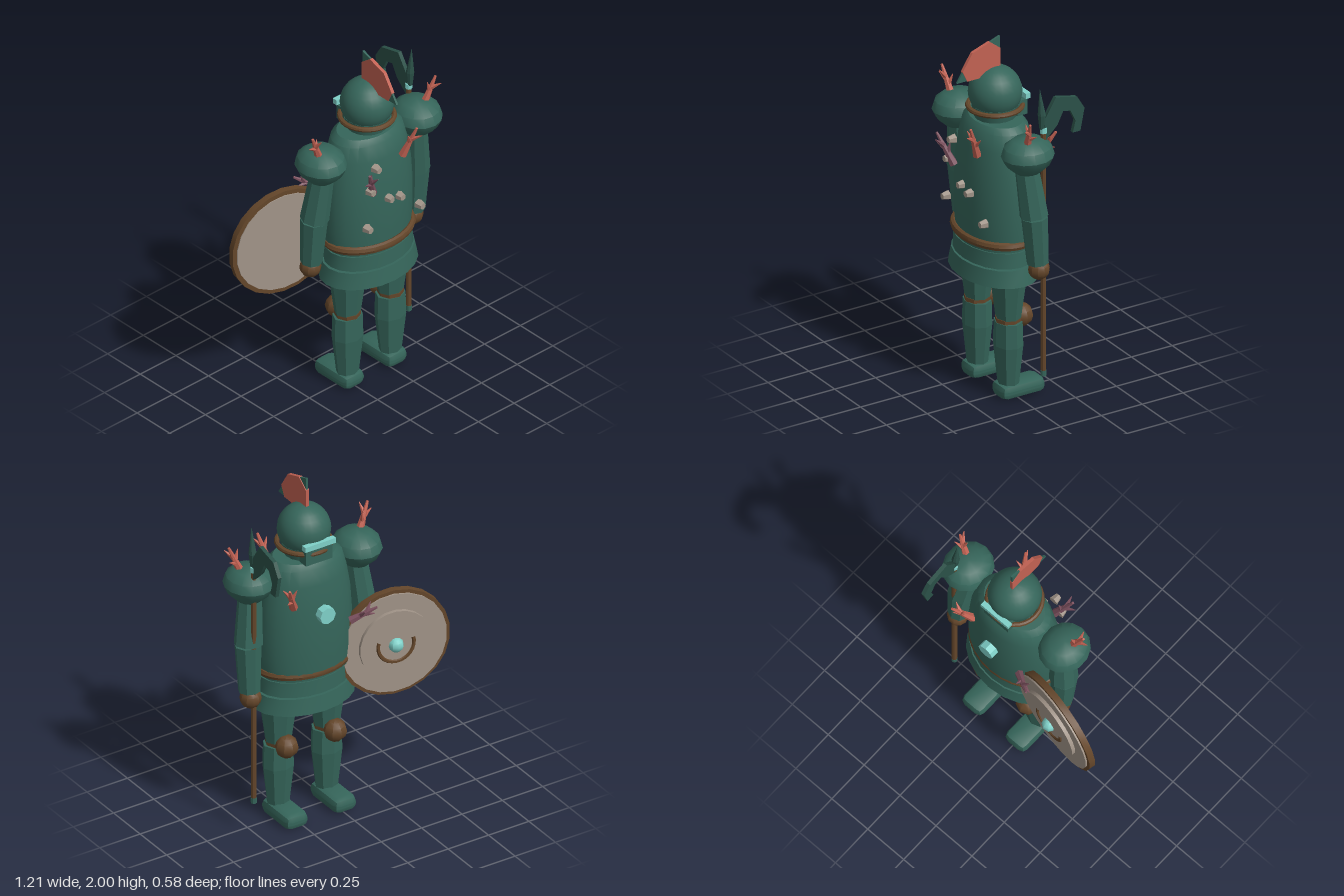
import * as THREE from 'three';
import { toCreasedNormals } from 'three/addons/utils/BufferGeometryUtils.js';
import { RoundedBoxGeometry } from 'three/addons/geometries/RoundedBoxGeometry.js';

const mat = (name, color) => {
  const m = new THREE.MeshStandardMaterial({ color });
  m.name = name;
  return m;
};

export function createModel() {
  const root = new THREE.Group();
  root.name = 'knight';
  const green = mat('verdigris', 0x35655a);
  const darkGreen = mat('dark verdigris', 0x2b5148);
  const brown = mat('leather brown', 0x64462a);
  const tan = mat('shell tan', 0xa19488);
  const red = mat('coral red', 0xc26253);
  const mauve = mat('coral mauve', 0x7c505e);
  const cyan = mat('glowing cyan', 0x7fd0c8);
  const CX = 0.14; // body axis
  const V = (x, y, z) => new THREE.Vector3(x, y, z);

  const add = (name, geo, material, x = 0, y = 0, z = 0, parent = root) => {
    const m = new THREE.Mesh(toCreasedNormals(geo, 0.6), material);
    m.name = name;
    m.position.set(x, y, z);
    parent.add(m);
    return m;
  };
  // tapered prism from point a to point b
  const limb = (name, a, b, ra, rb, material, sides = 8, parent = root) => {
    const d = b.clone().sub(a);
    const g = new THREE.CylinderGeometry(rb, ra, d.length(), sides);
    const m = add(name, g, material, 0, 0, 0, parent);
    m.position.copy(a).addScaledVector(d, 0.5);
    m.quaternion.setFromUnitVectors(V(0, 1, 0), d.normalize());
    return m;
  };
  const lathe = (pts, sides) =>
    new THREE.LatheGeometry(pts.map(p => new THREE.Vector2(...p)), sides);
  // flat plate in the z-y plane, points given as [z, y]
  const plate = (pts, t) => {
    const s = new THREE.Shape(pts.map(([z, y]) => new THREE.Vector2(-z, y)));
    return new THREE.ExtrudeGeometry(s, { depth: t, bevelEnabled: false })
      .translate(0, 0, -t / 2).rotateY(Math.PI / 2);
  };
  const ring = (name, r, tube, material, x, y, z, sz = 1) => {
    const g = new THREE.TorusGeometry(r, tube, 8, 28).rotateX(Math.PI / 2).scale(1, 1, sz);
    return add(name, g, material, x, y, z);
  };

  // Breastplate, belt and skirt tiers
  const torso = lathe([[0, 0.88], [0.262, 0.88], [0.272, 1.0], [0.272, 1.15], [0.262, 1.3],
    [0.24, 1.43], [0.215, 1.52], [0.18, 1.55], [0, 1.555]], 24).scale(1, 1, 0.7);
  add('breastplate', torso, green, CX, 0, 0.013);
  ring('belt', 0.256, 0.024, brown, CX, 0.905, 0.025, 0.72);
  const tier = (name, y0, y1, r0, r1) => {
    const g = new THREE.CylinderGeometry(r1, r0, y1 - y0, 20).scale(1, 1, 0.71);
    add(name, g, green, CX, (y0 + y1) / 2, 0.025);
  };
  tier('waist', 0.85, 0.9, 0.25, 0.255);
  tier('upperSkirt', 0.78, 0.865, 0.266, 0.26);
  tier('hips', 0.74, 0.79, 0.25, 0.25);
  tier('lowerSkirt', 0.68, 0.772, 0.295, 0.274);

  // Helmet with ring, visor and crest
  add('helmet', new THREE.SphereGeometry(0.142, 24, 14), green, CX, 1.69, 0.015);
  add('gorget', new THREE.CylinderGeometry(0.125, 0.105, 0.09, 16), green, CX, 1.575, 0.015);
  ring('helmetRing', 0.142, 0.014, brown, CX, 1.61, 0.015);
  add('visorGuard', new THREE.BoxGeometry(0.165, 0.085, 0.06), green, CX, 1.595, -0.1);
  add('visorSlit', new THREE.BoxGeometry(0.19, 0.03, 0.03), cyan, CX, 1.66, -0.128);
  add('crest', plate([[-0.012, 2], [0.155, 1.94], [0.25, 1.79], [-0.012, 1.79]], 0.012), green, 0.138);
  add('crestPanel', plate([[-0.014, 1.93], [0.05, 1.98], [0.157, 1.943], [0.218, 1.848],
    [0.19, 1.788], [0.04, 1.788], [-0.014, 1.83]], 0.019), red, 0.138);

  // Arms and legs, mirrored about the body axis
  const pauldron = lathe([[0, -0.095], [0.065, -0.092], [0.112, -0.045], [0.132, 0],
    [0.118, 0.05], [0.075, 0.088], [0, 0.1]], 14).scale(1, 1, 1.09);
  for (const s of [-1, 1]) {
    const side = new THREE.Group();
    side.name = s > 0 ? 'leftLimbs' : 'rightLimbs';
    root.add(side);
    const X = d => CX + s * d;
    add('pauldron', pauldron, green, X(0.335), 1.46, 0.027, side);
    limb('upperArm', V(X(0.354), 1.112, 0.0), V(X(0.324), 1.41, 0.03), 0.077, 0.063, green, 8, side);
    limb('forearm', V(X(0.36), 0.84, -0.018), V(X(0.357), 1.107, 0.0), 0.059, 0.072, green, 8, side);
    add('hand', new THREE.SphereGeometry(0.058, 10, 8), brown, X(0.358), 0.8, -0.027, side);
    limb('thigh', V(X(0.15), 0.455, 0.03), V(X(0.15), 0.72, 0.03), 0.073, 0.11, green, 8, side).scale.z = 0.9;
    add('kneeBand', new THREE.CylinderGeometry(0.07, 0.07, 0.025, 8), brown, X(0.15), 0.445, 0.03, side);
    add('kneeCap', new THREE.SphereGeometry(0.064, 8, 6), brown, X(0.15), 0.447, -0.05, side);
    limb('upperShin', V(X(0.15), 0.3, 0.03), V(X(0.15), 0.435, 0.03), 0.089, 0.085, green, 8, side).scale.z = 0.85;
    limb('lowerShin', V(X(0.15), 0.08, 0.03), V(X(0.15), 0.3, 0.03), 0.064, 0.089, green, 8, side).scale.z = 0.85;
    add('foot', new RoundedBoxGeometry(0.14, 0.085, 0.265, 1, 0.035), green, X(0.15), 0.0425, -0.033, side);
  }

  // Round shield
  const shield = new THREE.Group();
  shield.name = 'shield';
  shield.position.set(-0.3, 0.943, -0.152);
  shield.rotation.y = -0.2;
  root.add(shield);
  const disc = (name, r, t, z, material) =>
    add(name, new THREE.CylinderGeometry(r, r, t, 22).rotateX(Math.PI / 2), material, 0, 0, z, shield);
  disc('shieldRim', 0.313, 0.036, 0, brown);
  disc('shieldBack', 0.288, 0.01, 0.018, tan);
  disc('shieldFace', 0.293, 0.012, -0.021, tan);
  disc('shieldStep', 0.2, 0.022, -0.036, tan);
  add('shieldInnerRing', new THREE.TorusGeometry(0.1, 0.012, 6, 16, Math.PI * 1.2), brown,
    0, 0, -0.044, shield).rotation.z = Math.PI * 0.9;
  add('shieldBoss', new THREE.SphereGeometry(0.042, 8, 6), cyan, 0, 0, -0.045, shield);

  // Halberd
  const HX = 0.497, HZ = -0.055;
  limb('halberdPole', V(HX, 0.2, HZ), V(HX, 1.6, HZ), 0.015, 0.015, brown);
  limb('halberdFoot', V(HX, 0.178, HZ), V(HX, 0.21, HZ), 0.016, 0.016, green);
  limb('halberdCollar', V(HX, 1.575, HZ), V(HX, 1.605, HZ), 0.019, 0.019, cyan);
  limb('halberdSpikeBase', V(HX, 1.6, HZ + 0.01), V(HX, 1.68, HZ + 0.01), 0.013, 0.022, darkGreen);
  limb('halberdSpike', V(HX, 1.68, HZ + 0.01), V(HX, 1.83, HZ + 0.022), 0.022, 0.001, darkGreen);
  add('halberdBlade', plate([[-0.05, 1.52], [-0.06, 1.66], [-0.125, 1.765], [-0.255, 1.735],
    [-0.3, 1.66], [-0.275, 1.535], [-0.228, 1.535], [-0.245, 1.6], [-0.215, 1.665],
    [-0.17, 1.675], [-0.135, 1.605]], 0.022), darkGreen, HX);

  // Chest gem
  add('chestGem', new THREE.CylinderGeometry(0.048, 0.048, 0.045, 8).rotateX(Math.PI / 2),
    cyan, CX, 1.267, -0.19);

  // Barnacles
  const barnacle = new THREE.CylinderGeometry(0.018, 0.027, 0.04, 6).rotateX(Math.PI / 2);
  for (const [x, y] of [[0.03, 1.415], [-0.01, 1.29], [0.12, 1.19], [0.195, 1.17], [-0.03, 1.065], [0.335, 1.05]])
    add('barnacle', barnacle, tan, x, y, 0.213);

  // Branching corals: trunk from a to b with twigs splayed along it
  const coral = (a, b, material) => {
    const g = new THREE.Group();
    g.name = 'coral';
    root.add(g);
    const d = b.clone().sub(a), L = d.length();
    const u = d.clone().normalize();
    const side = u.clone().cross(V(0.3, 0.2, 1)).normalize();
    const other = u.clone().cross(side);
    limb('coralTrunk', a, b, 0.024, 0.007, material, 6, g);
    [[0.35, 1, 0.3], [0.5, -1, 0.2], [0.6, 0.2, -1]].forEach(([t, p, q]) => {
      const s = a.clone().addScaledVector(d, t);
      const e = s.clone().addScaledVector(u, L * 0.28)
        .addScaledVector(side, p * 0.042).addScaledVector(other, q * 0.042);
      limb('coralTwig', s, e, 0.015, 0.002, material, 5, g);
    });
  };
  coral(V(-0.225, 1.52, 0.05), V(-0.29, 1.68, 0.07), red);
  coral(V(0.505, 1.52, 0.05), V(0.57, 1.68, 0.07), red);
  coral(V(0.235, 1.4, 0.185), V(0.275, 1.58, 0.25), red);
  coral(V(0.02, 1.26, 0.19), V(-0.055, 1.43, 0.25), mauve);
  coral(V(0.3, 1.33, -0.13), V(0.375, 1.49, -0.21), red);
  coral(V(-0.04, 1.15, -0.15), V(-0.155, 1.23, -0.225), mauve);

  return root;
}
